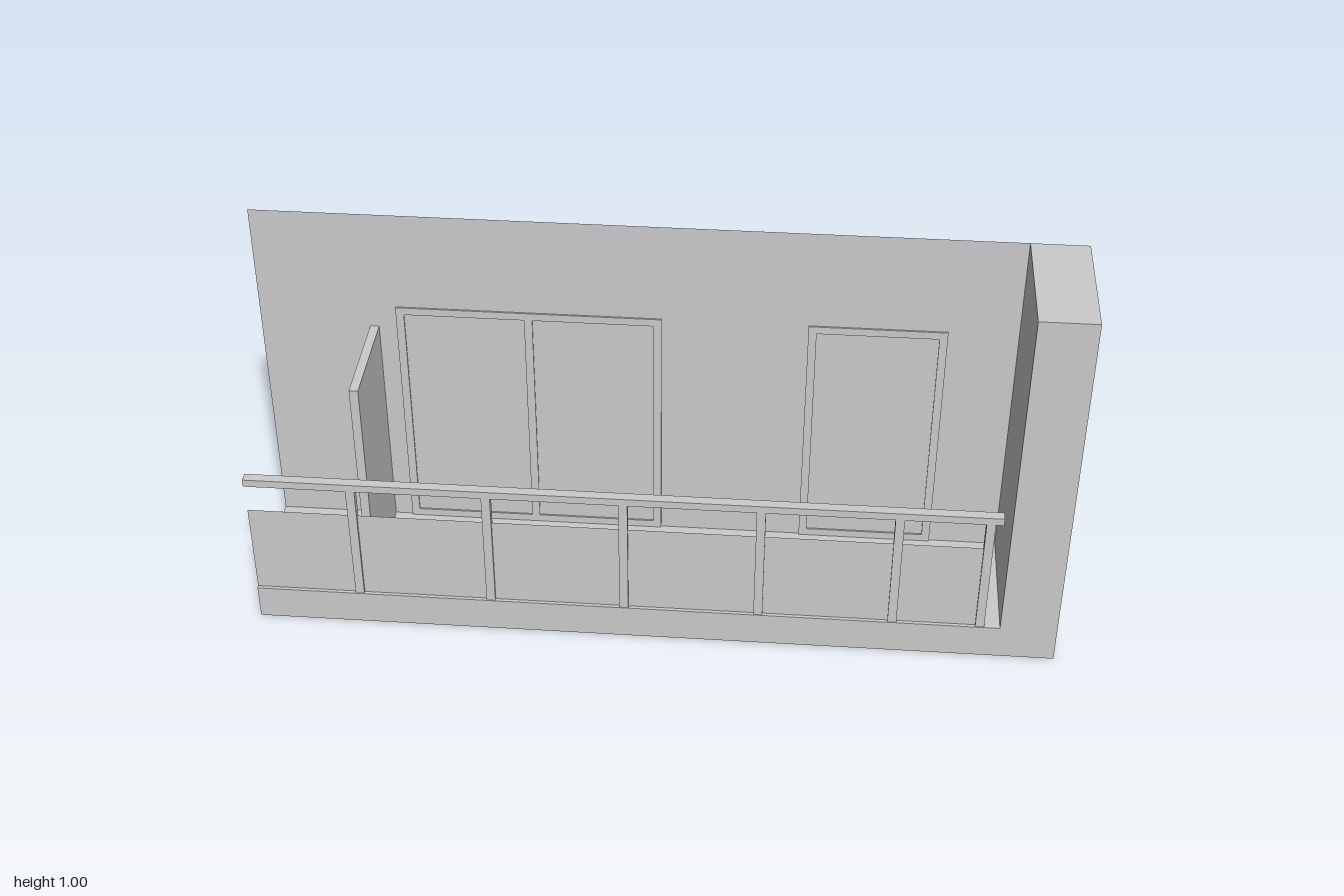
import * as THREE from 'three';

const material = new THREE.MeshStandardMaterial({ color: 0xcccccc, side: THREE.DoubleSide });
const FRONT = 0.165, BACK = -0.165, FLOOR = 0.09, PILLAR_X = 0.86;

// Box given by its limits; omit lists open sides (0..5 = +x -x +y -y +z -z)
function box(name, [x0, x1], [y0, y1], [z0, z1], omit = []) {
  const geometry = new THREE.BoxGeometry(x1 - x0, y1 - y0, z1 - z0);
  if (omit.length) {
    const all = Array.from(geometry.index.array);
    geometry.setIndex(all.filter((_, i) => !omit.includes(Math.floor(i / 6))));
    geometry.clearGroups();
  }
  geometry.translate((x0 + x1) / 2, (y0 + y1) / 2, (z0 + z1) / 2);
  const mesh = new THREE.Mesh(geometry, material);
  mesh.name = name;
  return mesh;
}

// Upright flat sheet facing the front
function sheet(name, [x0, x1], [y0, y1], z) {
  const geometry = new THREE.PlaneGeometry(x1 - x0, y1 - y0);
  geometry.translate((x0 + x1) / 2, (y0 + y1) / 2, z);
  const mesh = new THREE.Mesh(geometry, material);
  mesh.name = name;
  return mesh;
}

// Shallow door frame on the wall, with one opening per panel
function doorFrame(name, x0, x1, top, panels) {
  const bar = 0.02, depth = 0.004;
  const shape = new THREE.Shape();
  shape.moveTo(x0, FLOOR).lineTo(x1, FLOOR).lineTo(x1, top).lineTo(x0, top).closePath();
  const pitch = (x1 - x0 - bar) / panels;
  for (let i = 0; i < panels; i++) {
    const a = x0 + bar + i * pitch, b = a + pitch - bar;
    const hole = new THREE.Path();
    hole.moveTo(a, FLOOR + bar).lineTo(a, top - bar).lineTo(b, top - bar).lineTo(b, FLOOR + bar).closePath();
    shape.holes.push(hole);
  }
  const geometry = new THREE.ExtrudeGeometry(shape, { depth, bevelEnabled: false });
  geometry.translate(0, 0, BACK + 0.001);
  const mesh = new THREE.Mesh(geometry, material);
  mesh.name = name;
  return mesh;
}

export function createModel() {
  const model = new THREE.Group();
  model.name = 'balcony';

  // Open-backed shell: floor slab, side pillar and a thin rear wall
  model.add(
    box('floorSlab', [-1, PILLAR_X], [0, FLOOR], [BACK, FRONT], [0, 5]),
    box('sidePillar', [PILLAR_X, 1], [0, 1], [BACK, FRONT], [5]),
    sheet('rearWall', [-1, PILLAR_X], [FLOOR, 1], BACK)
  );

  // Double and single doors on the wall, and the screen between neighbours
  model.add(
    doorFrame('doubleDoorFrame', -0.66, -0.005, 0.74, 2),
    doorFrame('singleDoorFrame', 0.353, 0.69, 0.74, 1),
    box('partitionScreen', [-0.727, -0.705], [FLOOR, 0.68], [BACK, 0.112], [5])
  );

  // Railing: handrail, posts and the panels between them
  const railing = new THREE.Group();
  railing.name = 'railing';
  railing.add(box('handrail', [-1, 0.84], [0.415, 0.435], [0.14, FRONT]));
  let panelStart = -1;
  for (const x of [-0.738, -0.406, -0.072, 0.262, 0.594, 0.81]) {
    const left = x - 0.011, right = x + 0.011;
    railing.add(
      box('railingPost', [left, right], [FLOOR, 0.415], [0.143, 0.163], [2, 3]),
      sheet('railingPanel', [panelStart, left], [FLOOR, 0.335], 0.156)
    );
    panelStart = right;
  }
  model.add(railing);
  return model;
}
